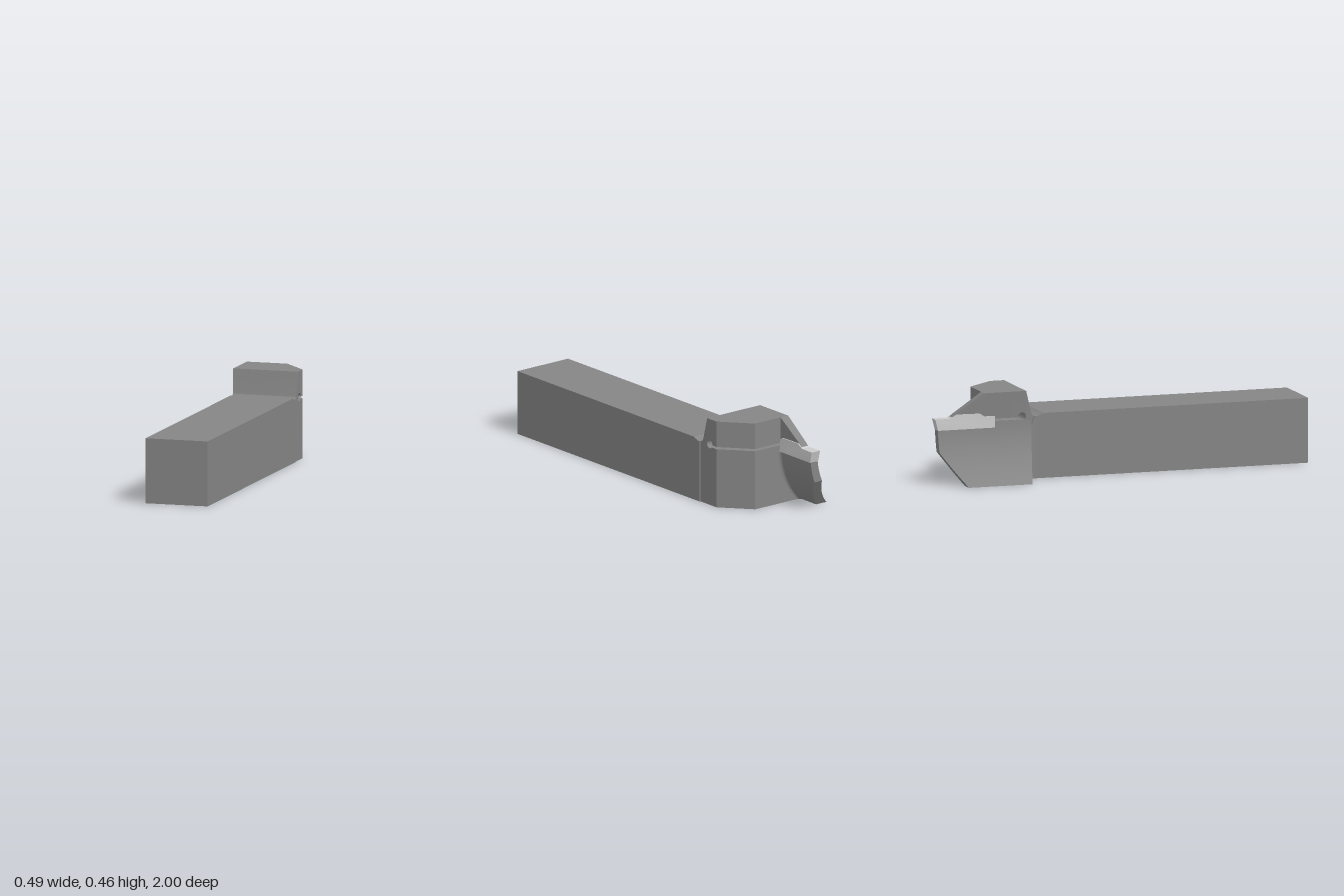
import * as THREE from 'three';
import { toCreasedNormals } from 'three/addons/utils/BufferGeometryUtils.js';

const steel = new THREE.MeshStandardMaterial({ color: 0x858585 });
const carbide = new THREE.MeshStandardMaterial({ color: 0xcccccc });

// Concave face shared by the head, blade and clamp: an arc in the x-y plane
const arcX = (y, offset = 0) => -0.506 + Math.sqrt((0.41 + offset) ** 2 - (y - 0.32) ** 2);

// Above the insert the arc runs out into a flat upright face
const clampX = (y) => Math.max(-0.105, arcX(y));

// Move every vertex by a rule, then rebuild normals
function reshape(geometry, rule) {
  const p = geometry.attributes.position;
  const v = new THREE.Vector3();
  for (let i = 0; i < p.count; i++) {
    v.fromBufferAttribute(p, i);
    rule(v);
    p.setXYZ(i, v.x, v.y, v.z);
  }
  geometry.computeVertexNormals();
  return toCreasedNormals(geometry, 0.4);
}

// Side profile given as [-z, y], extruded across x
function acrossX(points, x0, x1, rule = () => {}) {
  const shape = new THREE.Shape(points.map(([a, b]) => new THREE.Vector2(a, b)));
  const g = new THREE.ExtrudeGeometry(shape, { depth: x1 - x0, bevelEnabled: false });
  g.rotateY(Math.PI / 2);
  g.translate(x0, 0, 0);
  return reshape(g, rule);
}

// Block bent to the arc: innerX(y, z) is its left face, endZ(x, y, back) its two ends
function bentBlock(y1, outerX, innerX, endZ, zSteps = 1) {
  const g = new THREE.BoxGeometry(1, 1, 1, 1, 20, zSteps);
  g.translate(0.5, 0.5, 0.5);
  return reshape(g, (v) => {
    const y = v.y * y1;
    const t = v.z;
    const x = v.x < 0.5 ? outerX(y) : innerX(y, t);
    v.set(x, y, THREE.MathUtils.lerp(endZ(x, y, true), endZ(x, y, false), t));
  });
}

export function createModel() {
  const group = new THREE.Group();
  const add = (name, geometry, material = steel) => {
    const mesh = new THREE.Mesh(geometry, material);
    mesh.name = name;
    group.add(mesh);
  };

  // Square shank, dipping into the relief groove at the neck
  add('shank', acrossX([
    [-1, 0], [0.46, 0], [0.46, 0.319], [0.445, 0.32], [0.43, 0.325], [0.415, 0.333], [-1, 0.333],
  ], -0.085, 0.245));

  // Head: right-hand face follows the arc, left-hand corner is chamfered in plan
  const right = -0.095, left = 0.24;
  const headRule = (v) => {
    if (v.x < 0) {
      if (v.z > -0.47) v.x = -0.085;
      else if (v.y > 0.33) v.x = clampX(v.y);
    } else if (v.z < -0.59) {
      v.x = left + (v.z + 0.59) * (0.13 / 0.15);
    }
  };

  // Rear of the head with the round relief hole and its slot
  const hole = [];
  for (let i = 0; i <= 24; i++) {
    const a = -0.09 + (Math.PI * 2 - 0.6) * i / 24;
    hole.push([0.535 + 0.022 * Math.cos(a), 0.322 + 0.022 * Math.sin(a)]);
  }
  add('headRear', acrossX([
    [0.46, 0], [0.46, 0.319], [0.472, 0.323], [0.481, 0.331], [0.486, 0.345], [0.515, 0.455],
    [0.59, 0.455], [0.59, 0.32], ...hole, [0.59, 0.308], [0.59, 0],
  ], right, left, headRule));

  // Front of the head, split by the clamping slot
  for (const [name, y0, y1] of [['headLowerJaw', 0, 0.308], ['headUpperJaw', 0.32, 0.455]]) {
    add(name, acrossX([[0.59, y0], [0.74, y0], [0.74, y1], [0.59, y1]], right, left, headRule));
  }

  // Flared support under the arc, with a slanted rear edge
  add('flare', bentBlock(0.306, (y) => arcX(y), () => -0.087,
    (x, y, back) => back ? -0.74 : -0.485 + Math.min(0, x + 0.1) * 0.3));

  // Curved blade with its lower tip cut away
  add('blade', bentBlock(0.275, (y) => arcX(y), (y) => arcX(y, 0.045),
    (x, y, back) => back ? -0.87 - 0.115 * Math.min(1, y / 0.165) : -0.74));

  // Rounded fillet where the blade leaves the head
  add('bladeFillet', bentBlock(0.275, (y) => arcX(y, 0.03),
    (y, t) => arcX(y, 0.045) + 0.018 * (1 - Math.sqrt(1 - t * t)),
    (x, y, back) => back ? -0.758 : -0.74, 6));

  // Sloping clamp finger above the insert
  add('clampFinger', acrossX([
    [0.735, 0.33], [0.76, 0.348], [0.88, 0.35], [0.912, 0.337], [0.9, 0.347], [0.74, 0.455], [0.735, 0.455],
  ], -0.1, -0.056, (v) => { if (v.x < -0.08) v.x = clampX(v.y); }));

  // Cutting insert, widening toward its tip
  add('insert', acrossX([
    [0.68, 0.275], [0.985, 0.275], [1, 0.333], [0.92, 0.333], [0.885, 0.353], [0.76, 0.351], [0.735, 0.335], [0.68, 0.335],
  ], -0.1, -0.05, (v) => {
    const half = v.z < -0.95 ? 0.027 : 0.0245;
    v.x = -0.075 + Math.sign(v.x + 0.075) * half;
  }), carbide);

  return group;
}
